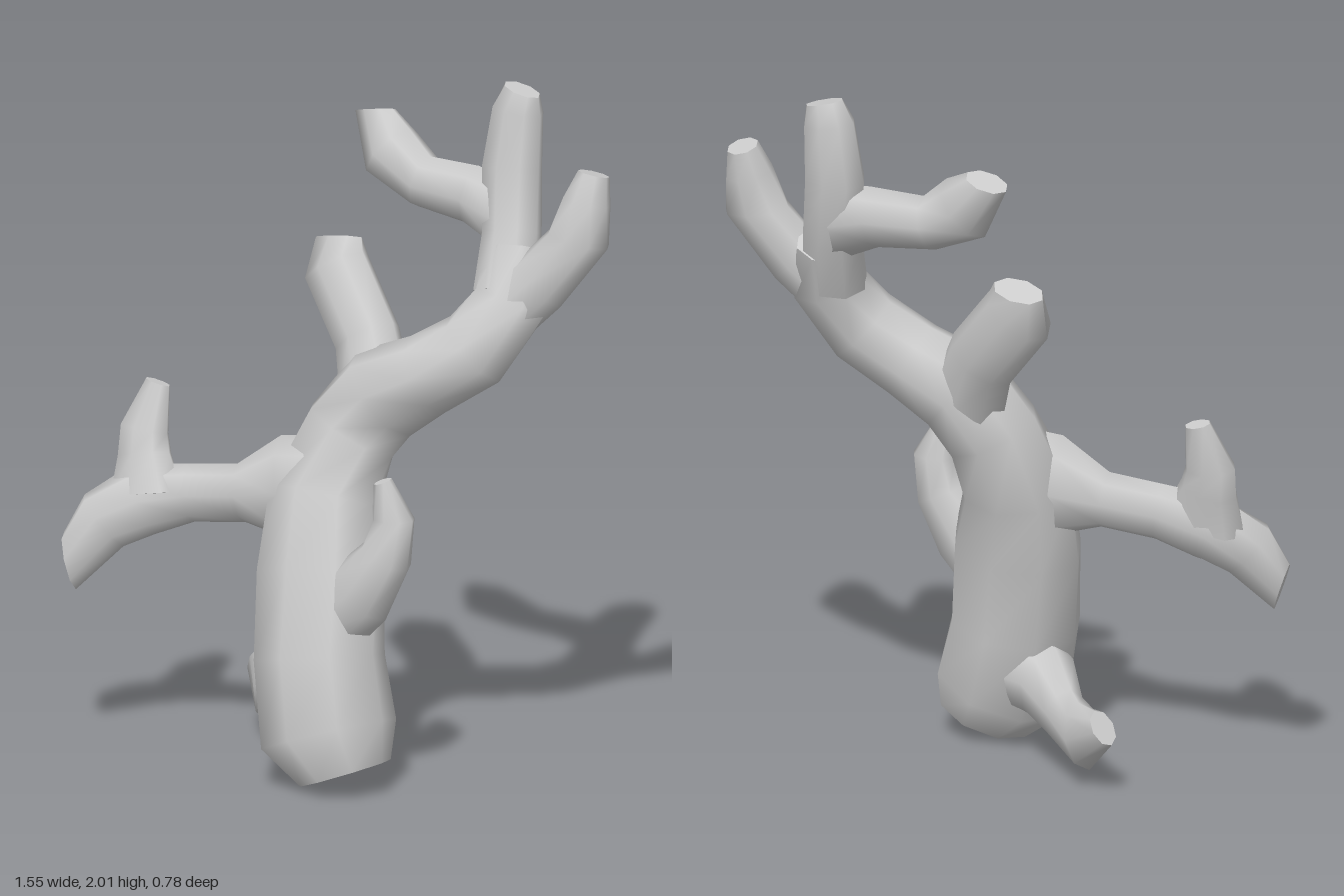
import * as THREE from 'three';

const SIDES = 8;
const material = new THREE.MeshStandardMaterial({ color: 0xcccccc });

// Lofts a limb through sections [x, y, z, half width, half depth, tilt], closed by flat ends.
function limb(name, sections) {
  const centres = sections.map(([x, y, z]) => new THREE.Vector3(x, y, z));
  const last = sections.length - 1;
  const positions = [], index = [];

  sections.forEach(([, , , width, depth, tilt = 0], i) => {
    const along = centres[Math.min(i + 1, last)].clone().sub(centres[Math.max(i - 1, 0)]).normalize();
    const back = new THREE.Vector3(0, 0, 1).addScaledVector(along, -along.z).normalize();
    const side = back.clone().cross(along).applyAxisAngle(back, tilt);
    for (let j = 0; j < SIDES; j++) {
      const a = (j / SIDES) * Math.PI * 2;
      const p = centres[i].clone()
        .addScaledVector(side, Math.cos(a) * width)
        .addScaledVector(back, Math.sin(a) * depth);
      positions.push(p.x, p.y, p.z);
    }
  });
  for (let i = 0; i < last; i++) {
    for (let j = 0; j < SIDES; j++) {
      const k = (j + 1) % SIDES, a = i * SIDES, b = a + SIDES;
      index.push(a + j, a + k, b + k, a + j, b + k, b + j);
    }
  }
  // End caps have their own corners so that their rims stay sharp
  for (const ring of [0, last]) {
    const start = positions.length / 3;
    positions.push(...positions.slice(ring * SIDES * 3, (ring + 1) * SIDES * 3));
    for (let j = 1; j < SIDES - 1; j++) {
      if (ring) index.push(start, start + j, start + j + 1);
      else index.push(start, start + j + 1, start + j);
    }
  }
  const geometry = new THREE.BufferGeometry();
  geometry.setAttribute('position', new THREE.Float32BufferAttribute(positions, 3));
  geometry.setIndex(index);
  geometry.computeVertexNormals();
  const mesh = new THREE.Mesh(geometry, material);
  mesh.name = name;
  return mesh;
}

export function createModel() {
  const group = new THREE.Group();
  group.name = 'branchingCoral';
  group.add(
    // Main stem, leaning back and to the left as it rises
    limb('trunk', [
      [0.17, 0.045, 0.20, 0.14, 0.13, -0.15],
      [0.11, 0.15, 0.20, 0.205, 0.19],
      [0.05, 0.36, 0.165, 0.195, 0.18],
      [0.02, 0.60, 0.12, 0.20, 0.16],
      [-0.02, 0.80, 0.05, 0.17, 0.145],
      [0.02, 0.98, -0.03, 0.15, 0.125],
      [0.11, 1.10, -0.06, 0.145, 0.13],
      [0.25, 1.175, -0.085, 0.12, 0.125],
      [0.39, 1.265, -0.12, 0.12, 0.115],
      [0.465, 1.40, -0.19, 0.12, 0.09],
      [0.44, 1.54, -0.25, 0.09, 0.08],
    ]),
    // Crown: upright tip, its side twig and the outer fork
    limb('topBranch', [
      [0.44, 1.42, -0.20, 0.10, 0.085],
      [0.41, 1.58, -0.27, 0.09, 0.08],
      [0.38, 1.76, -0.31, 0.095, 0.075],
      [0.39, 1.93, -0.325, 0.08, 0.065],
      [0.405, 1.99, -0.325, 0.06, 0.04],
    ]),
    limb('topSideTwig', [
      [0.40, 1.62, -0.28, 0.11, 0.07],
      [0.26, 1.66, -0.295, 0.09, 0.075],
      [0.08, 1.67, -0.295, 0.08, 0.07],
      [-0.04, 1.735, -0.30, 0.10, 0.08],
      [-0.13, 1.837, -0.34, 0.07, 0.045, -0.5],
    ]),
    limb('outerFork', [
      [0.44, 1.36, -0.17, 0.10, 0.08],
      [0.55, 1.47, -0.22, 0.095, 0.075],
      [0.67, 1.61, -0.24, 0.10, 0.075, 0.35],
      [0.685, 1.72, -0.26, 0.07, 0.07],
      [0.695, 1.80, -0.28, 0.045, 0.05],
    ]),
    limb('middleBranch', [
      [0.07, 1.08, -0.08, 0.12, 0.09],
      [0.00, 1.23, -0.13, 0.11, 0.08],
      [-0.15, 1.40, -0.185, 0.11, 0.08],
      [-0.165, 1.48, -0.215, 0.08, 0.05],
    ]),
    // Low arm on the right with a drooping end and an upright twig
    limb('rightArm', [
      [0.00, 0.82, 0.05, 0.16, 0.09],
      [-0.13, 0.81, 0.075, 0.155, 0.095],
      [-0.27, 0.78, 0.11, 0.085, 0.06],
      [-0.43, 0.76, 0.14, 0.085, 0.055],
      [-0.57, 0.725, 0.175, 0.105, 0.075],
      [-0.665, 0.66, 0.235, 0.095, 0.08],
      [-0.745, 0.54, 0.29, 0.085, 0.045, -0.6],
    ]),
    limb('rightArmTwig', [
      [-0.56, 0.74, 0.175, 0.13, 0.07],
      [-0.585, 0.85, 0.15, 0.09, 0.06],
      [-0.60, 0.92, 0.13, 0.08, 0.055],
      [-0.575, 1.055, 0.10, 0.04, 0.03],
    ]),
    // Short bud on the left of the trunk
    limb('leftBud', [
      [0.09, 0.46, 0.16, 0.10, 0.09],
      [0.205, 0.58, 0.17, 0.11, 0.085],
      [0.29, 0.70, 0.165, 0.08, 0.07],
      [0.31, 0.81, 0.155, 0.065, 0.05],
      [0.28, 0.92, 0.17, 0.025, 0.03],
    ]),
    // Root spreading backwards on the right
    limb('root', [
      [0.05, 0.22, 0.17, 0.13, 0.13],
      [-0.10, 0.21, 0.08, 0.11, 0.09],
      [-0.20, 0.16, -0.01, 0.08, 0.06],
      [-0.32, 0.14, -0.11, 0.10, 0.06],
      [-0.42, 0.20, -0.18, 0.055, 0.035],
    ]),
  );
  return group;
}
